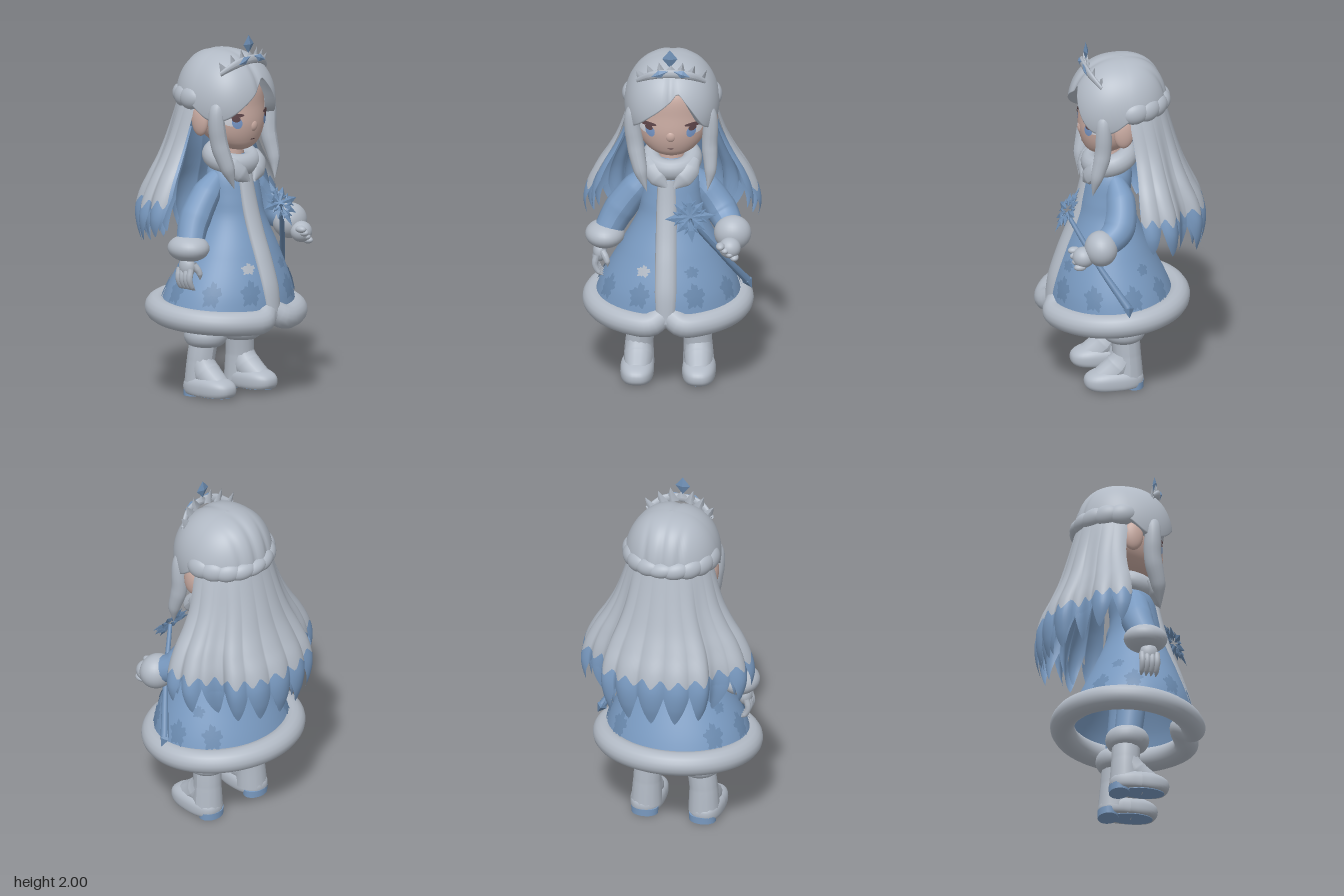
import * as THREE from 'three';
import { ParametricGeometry } from 'three/addons/geometries/ParametricGeometry.js';

const material = (name, color) => {
  const m = new THREE.MeshStandardMaterial({ color, side: THREE.DoubleSide });
  m.name = name;
  return m;
};
const V = (p) => new THREE.Vector3(...p);
const bump = (x, w) => Math.exp(-((x / w) ** 2));

// Interpolated table: first column is the key, the rest are values
const table = (rows) => new THREE.CubicInterpolant(
  rows.map((r) => r[0]), rows.flatMap((r) => r.slice(1)), rows[0].length - 1);

// Stack of ellipses, rows [y, rx, rz, cx, cz]; phi = 0 faces the front
function loft(rows) {
  const t = table(rows);
  return (phi, y, out, offset = 0, scale = 1) => {
    const [rx, rz, cx, cz] = t.evaluate(y);
    return out.set(cx + (rx * scale + offset) * Math.sin(phi), y, cz + (rz * scale + offset) * Math.cos(phi));
  };
}

export function createModel() {
  const model = new THREE.Group();
  model.name = 'winterGirl';
  const silver = material('silver', 0xb2bac5), blue = material('blue', 0x7a9bc2), deepBlue = material('deepBlue', 0x6b8bb0);
  const skin = material('skin', 0xc8aaa1), brown = material('brown', 0x5e4549), white = material('eyeWhite', 0xd0d2da);
  const iris = material('irisBlue', 0x7797c8);

  const add = (name, geometry, mat, pos = [0, 0, 0], scale = [1, 1, 1], parent = model) => {
    const mesh = new THREE.Mesh(geometry, mat);
    mesh.name = name;
    mesh.position.set(...pos);
    mesh.scale.set(...scale);
    parent.add(mesh);
    return mesh;
  };
  const ball = (name, mat, pos, radii) => add(name, new THREE.SphereGeometry(1, 28, 18), mat, pos, radii);

  // Tube with varying radius, optionally squashed across
  function sweep(name, mat, points, radii, squash = [1, 1, 1]) {
    const curve = new THREE.CatmullRomCurve3(points.map(V)), segs = 32, sides = 14;
    const g = new THREE.TubeGeometry(curve, segs, 1, sides), p = g.attributes.position, v = new THREE.Vector3();
    for (let i = 0; i < p.count; i++) {
      const t = Math.floor(i / (sides + 1)) / segs, c = curve.getPointAt(t);
      const k = Math.min(t * (radii.length - 1), radii.length - 1.0001), a = Math.floor(k);
      const r = THREE.MathUtils.lerp(radii[a], radii[a + 1], k - a);
      v.fromBufferAttribute(p, i).sub(c).multiplyScalar(r).multiply(V(squash)).add(c);
      p.setXYZ(i, v.x, v.y, v.z);
    }
    g.computeVertexNormals();
    return add(name, g, mat);
  }

  // Thin patch lying on a loft at angle phi and height y
  function patch(name, mat, surface, phi, y, w, h, around, offset, shape = () => 1) {
    const g = new THREE.RingGeometry(0, 1, 40, 4), p = g.attributes.position, v = new THREE.Vector3();
    for (let i = 0; i < p.count; i++) {
      const k = shape(Math.atan2(p.getY(i), p.getX(i)));
      surface(phi + p.getX(i) * k * w / around, y + p.getY(i) * k * h, v, offset);
      p.setXYZ(i, v.x, v.y, v.z);
    }
    g.computeVertexNormals();
    return add(name, g, mat);
  }

  // Coat
  const coat = loft([[0.47, 0.41, 0.35, -0.02, 0.045], [0.6, 0.37, 0.315, -0.015, 0.06], [0.8, 0.275, 0.235, -0.005, 0.075],
    [1, 0.18, 0.155, 0, 0.08], [1.1, 0.165, 0.135, 0, 0.08], [1.24, 0.145, 0.12, 0, 0.06], [1.33, 0.08, 0.08, 0, 0.05]]);
  add('coat', new ParametricGeometry((u, v, out) => coat(u * 2 * Math.PI, 0.47 + v * 0.86, out), 64, 32), blue);

  // Fur hem, dipping in where the coat opens
  const hem = [];
  for (let i = 0; i < 64; i++) {
    const a = (i / 64) * 2 * Math.PI, d = Math.min(a, 2 * Math.PI - a), notch = bump(d, 0.15);
    hem.push(new THREE.Vector3(-0.02 + 0.4 * Math.sin(a), 0.468 - 0.024 * Math.cos(a) + 0.05 * notch,
      0.04 + (0.357 - 0.06 * notch) * Math.cos(a)));
  }
  add('furHem', new THREE.TubeGeometry(new THREE.CatmullRomCurve3(hem, true), 128, 0.067, 16, true), silver);
  const trim = [0.46, 0.6, 0.75, 0.9, 1.05, 1.22].map((y) => {
    const p = coat(0, y, new THREE.Vector3());
    return [-0.022, y, p.z - 0.008];
  });
  sweep('frontFurTrim', silver, trim, [0.05, 0.06, 0.06, 0.058, 0.056, 0.05], [1, 1, 0.55]);

  // Ragged frost embroidery around the skirt
  const ragged = (a) => 0.78 + 0.13 * Math.sin(5 * a) + 0.12 * Math.sin(11 * a + 1);
  for (const phi of [-1.05, -0.42, 0.42, 1.05, 1.75, 2.35, -2.35, -1.75]) {
    patch('frostPatch', deepBlue, coat, phi, 0.605, 0.068, 0.078, 0.37, 0.008, ragged);
  }
  for (const [phi, mat] of [[-0.45, silver], [0.42, deepBlue], [2.1, deepBlue], [-2.1, deepBlue]]) {
    patch('smallFrostPatch', mat, coat, phi, 0.735, 0.045, 0.035, 0.3, 0.008, ragged);
  }

  // Collar and neck
  const collar = add('furCollar', new THREE.TorusGeometry(0.112, 0.055, 16, 36), silver, [0, 1.305, 0.06], [1, 0.95, 1.1]);
  collar.rotation.x = Math.PI / 2 + 0.28;
  add('neck', new THREE.CylinderGeometry(0.07, 0.08, 0.16, 20), skin, [0, 1.35, 0.05]);
  for (const s of [-1, 1]) {
    sweep('collarLapel', silver, [[s * 0.13, 1.32, 0.12], [s * 0.085, 1.255, 0.18], [s * 0.02, 1.19, 0.21]],
      [0.03, 0.055, 0.05, 0.01], [1, 1, 0.6]);
  }

  // Sleeves, cuffs and gloves
  sweep('rightSleeve', blue, [[-0.08, 1.24, 0.06], [-0.19, 1.12, 0.045], [-0.29, 0.98, 0.045], [-0.35, 0.87, 0.07]], [0.04, 0.08, 0.088, 0.076]);
  sweep('leftSleeve', blue, [[0.08, 1.24, 0.06], [0.195, 1.11, 0.04], [0.28, 0.99, 0.075], [0.335, 0.92, 0.18]], [0.04, 0.08, 0.088, 0.07]);
  ball('rightCuff', silver, [-0.363, 0.853, 0.072], [0.108, 0.074, 0.12]);
  ball('leftCuff', silver, [0.337, 0.918, 0.185], [0.102, 0.098, 0.09]);
  ball('rightPalm', silver, [-0.39, 0.755, 0.085], [0.038, 0.06, 0.05]);
  for (let i = 0; i < 4; i++) {
    const z = 0.045 + i * 0.027;
    sweep('rightFinger', silver, [[-0.405, 0.75, z], [-0.415, 0.69, z], [-0.395, 0.645, z], [-0.365, 0.625, z]], [0.017, 0.018, 0.016, 0.014, 0]);
  }
  sweep('rightThumb', silver, [[-0.375, 0.77, 0.12], [-0.35, 0.72, 0.14], [-0.345, 0.68, 0.14]], [0.018, 0.019, 0.016, 0]);
  ball('leftFist', silver, [0.325, 0.87, 0.28], [0.06, 0.058, 0.06]);
  for (let i = 0; i < 4; i++) {
    ball('leftFinger', silver, [0.275 + i * 0.025, 0.895 - i * 0.024, 0.322 - i * 0.006], [0.024, 0.02, 0.034]);
  }

  // Wand with a snowflake head
  sweep('wandShaft', deepBlue, [[0.11, 1.05, 0.325], [0.26, 0.815, 0.2], [0.41, 0.58, 0.05]], [0.012, 0.014, 0.014, 0.019, 0.022]);
  const gem = add('wandTip', new THREE.OctahedronGeometry(1), deepBlue, [0.412, 0.575, 0.048], [0.03, 0.05, 0.03]);
  gem.rotation.z = 0.5;
  const flake = new THREE.Group();
  flake.name = 'snowflake';
  flake.position.set(0.11, 1.065, 0.32);
  flake.rotation.set(-0.55, 0, 0.1);
  model.add(flake);
  for (let i = 0; i < 8; i++) {
    const arm = new THREE.Group();
    arm.name = 'snowflakeArm';
    arm.rotation.z = (i * Math.PI) / 4;
    flake.add(arm);
    const len = i % 2 ? 0.05 : 0.064;
    add('icePetal', new THREE.OctahedronGeometry(1), deepBlue, [0, 0.012 + len, 0], [0.024, len, 0.012], arm);
    for (const s of [-1, 1]) {
      const branch = add('iceBranch', new THREE.OctahedronGeometry(1), deepBlue, [s * 0.02, len * 1.1, 0], [0.011, 0.03, 0.008], arm);
      branch.rotation.z = -s * 0.75;
    }
  }

  // Rounded foot with a flat underside
  const footShape = new THREE.SphereGeometry(1, 36, 24), fp = footShape.attributes.position;
  const fuller = (n) => Math.sign(n) * Math.abs(n) ** 0.8;
  for (let i = 0; i < fp.count; i++) {
    const z = fp.getZ(i), low = z > 0 ? 1 - 0.12 * z : 1;
    fp.setXYZ(i, fuller(fp.getX(i)) * 0.092, Math.max(0.012, 0.05 + fuller(fp.getY(i)) * 0.072 * low), 0.07 + fuller(z) * 0.165);
  }
  footShape.computeVertexNormals();

  // Legs and boots
  for (const [side, x, kneeX] of [['right', -0.182, -0.155], ['left', 0.145, 0.132]]) {
    sweep(side + 'Leg', blue, [[kneeX * 0.8, 0.85, 0.05], [kneeX * 0.9, 0.6, 0.04], [kneeX, 0.33, 0.01]], [0.09, 0.08, 0.075]);
    const cuff = add(side + 'BootCuff', new THREE.TorusGeometry(0.064, 0.053, 16, 32), silver, [kneeX, 0.332, 0.01], [1, 1.03, 1.15]);
    cuff.rotation.x = Math.PI / 2;
    sweep(side + 'BootShaft', silver, [[kneeX, 0.33, 0.005], [x * 0.97, 0.2, -0.004], [x, 0.05, -0.008]], [0.078, 0.078, 0.087]);
    sweep(side + 'BootInstep', silver, [[x, 0.21, -0.01], [x, 0.13, 0.04], [x * 1.02, 0.06, 0.13]], [0.068, 0.078, 0.07]);
    add(side + 'BootFoot', footShape, silver, [x * 1.03, 0, 0]);
    add(side + 'Heel', new THREE.CylinderGeometry(0.076, 0.074, 0.04, 24), blue, [x, 0.02, -0.04], [1, 1, 0.75]);
    add(side + 'Sole', new THREE.CylinderGeometry(0.07, 0.07, 0.006, 24), blue, [x * 1.03, 0.011, 0.09], [1, 1, 1.7]);
  }

  // Head and face
  const head = loft([[1.355, 0.01, 0.01, 0, 0.125], [1.365, 0.06, 0.05, 0, 0.118], [1.385, 0.108, 0.09, 0, 0.103], [1.42, 0.152, 0.13, 0, 0.082],
    [1.5, 0.2, 0.185, 0, 0.045], [1.6, 0.22, 0.215, 0, 0.01], [1.72, 0.21, 0.205, 0, 0.005], [1.8, 0.16, 0.16, 0, 0]]);
  add('head', new ParametricGeometry((u, v, out) => head(u * 2 * Math.PI, 1.355 + v * 0.445, out), 48, 48), skin);
  ball('nose', skin, [0, 1.5, 0.216], [0.03, 0.034, 0.022]);
  patch('mouth', brown, head, 0, 1.425, 0.018, 0.003, 0.16, 0.003);
  for (const s of [-1, 1]) {
    ball('ear', skin, [s * 0.222, 1.535, 0.03], [0.03, 0.085, 0.055]);
    patch('eyeWhite', white, head, s * 0.72, 1.54, 0.046, 0.03, 0.21, 0.003);
    patch('iris', iris, head, s * 0.56, 1.525, 0.03, 0.032, 0.21, 0.005);
    patch('pupil', brown, head, s * 0.57, 1.547, 0.024, 0.015, 0.21, 0.007);
    patch('lash', brown, head, s * 0.64, 1.568, 0.062, 0.012, 0.21, 0.009);
  }

  // Hair cap with parted bangs; its lower edge varies around the head
  const edge = table([[-3.2, 1.62], [-1.65, 1.63], [-1.2, 1.55], [-0.86, 1.55], [-0.4, 1.635], [0, 1.72], [0.18, 1.76],
    [0.34, 1.71], [0.75, 1.56], [1.2, 1.55], [1.65, 1.63], [3.2, 1.62]]);
  add('hairCap', new ParametricGeometry((u, v, out) => {
    const phi = (u * 2 - 1) * Math.PI, low = Math.asin((edge.evaluate(phi)[0] - 1.62) / 0.278);
    const k = Math.max(0, (v - 0.12) / 0.88), el = low + (Math.PI / 2 - low) * k;
    const lip = v < 0.12 ? 0.8 + 0.2 * Math.sin((v / 0.12) * Math.PI / 2) : 1;
    const front = Math.cos(phi) > 0, c = Math.cos(el) ** (front ? 0.85 : 0.85 + 0.13 * Math.cos(phi)) * lip;
    const x = 0.26 * c * Math.sin(phi);
    const groove = 1 + (front ? 0.05 * Math.sin(2 * phi) ** 2 : 0.04 * Math.cos(phi) * bump(Math.abs(x) - 0.1, 0.02) * c)
      - 0.045 * bump(x, 0.025) * c;
    out.set(x * groove, 1.62 + 0.28 * Math.sin(el) * (1 - 0.045 * bump(x, 0.025) * c), (front ? 0.284 : 0.258) * c * Math.cos(phi) * groove);
  }, 96, 36), silver);

  // Rolled hair around the back of the head, fuller at the sides
  for (let i = 0; i <= 8; i++) {
    const a = Math.PI / 2 + 0.15 + (i / 8) * (Math.PI - 0.3), side = Math.abs(Math.sin(a));
    const roll = ball('hairRoll', silver, [0.225 * Math.sin(a), 1.652, 0.228 * Math.cos(a)], [0.08, 0.046 + 0.018 * side, 0.05]);
    roll.rotation.set(0, a, 0.15);
  }

  // Front side locks
  sweep('rightLock', silver, [[-0.15, 1.71, 0.13], [-0.21, 1.6, 0.14], [-0.195, 1.42, 0.145], [-0.165, 1.28, 0.18], [-0.13, 1.16, 0.2]],
    [0.01, 0.045, 0.052, 0.052, 0.042, 0], [0.9, 1, 0.95]);
  sweep('leftLock', silver, [[0.15, 1.71, 0.13], [0.21, 1.6, 0.14], [0.21, 1.42, 0.145], [0.215, 1.28, 0.18], [0.2, 1.17, 0.2]],
    [0.01, 0.042, 0.048, 0.048, 0.036, 0], [0.9, 1, 0.95]);

  // Long hair: silver above, blue pointed tips curling in below, blue lining
  const mane = loft([[0.8, 0.4, 0.33, 0, -0.09], [0.9, 0.445, 0.36, 0, -0.085], [1, 0.467, 0.37, 0, -0.08], [1.1, 0.452, 0.352, 0, -0.077],
    [1.2, 0.41, 0.312, 0, -0.072], [1.3, 0.35, 0.272, 0, -0.07], [1.4, 0.3, 0.245, 0, -0.065], [1.6, 0.235, 0.215, 0, -0.04], [1.7, 0.2, 0.2, 0, -0.03]]);
  const strands = 11, zig = (x) => Math.abs(2 * (x - Math.floor(x)) - 1);
  const tipY = (u) => 0.91 - 0.115 * Math.cos((u - 0.5) * 3.4) + 0.17 * zig(u * strands) ** 1.4;
  const dyeY = (u) => Math.max(tipY(u) + 0.005, 1.06 - 0.04 * Math.cos((u - 0.5) * 3.4) + 0.06 * zig(u * strands * 1.5 + 0.3));
  const hair = (name, mat, top, bottom, scale) => add(name, new ParametricGeometry((u, v, out) => {
    const theta = (u - 0.5) * 3.5, y = THREE.MathUtils.lerp(top(u), bottom(u), v);
    const drop = THREE.MathUtils.clamp((1.65 - y) / 0.65, 0, 1);
    const wave = 1 + drop * (0.06 * (1 - zig(u * strands) ** 2) - 0.02 - 0.18 * bump(Math.abs(theta) - 0.92, 0.16));
    mane(Math.PI - theta, y, out, 0, scale * wave);
  }, strands * 12, 20), mat);
  hair('longHair', silver, () => 1.69, dyeY, 1);
  hair('hairTips', blue, dyeY, tipY, 1);
  hair('hairLining', blue, () => 1.5, (u) => tipY(u) + 0.03, 0.91);

  // Tiara
  sweep('tiaraBand', silver, [[-0.185, 1.8, 0.145], [-0.1, 1.85, 0.19], [0, 1.865, 0.203], [0.1, 1.85, 0.19], [0.185, 1.8, 0.145]],
    [0.014, 0.024, 0.024, 0.024, 0.014], [1, 1, 0.5]);
  for (let i = -3; i <= 3; i++) {
    const t = i / 3, tall = i === 0 ? 0.02 : 0.042;
    const spike = add('tiaraSpike', new THREE.ConeGeometry(1, 2, 4), silver,
      [t * 0.172, 1.892 - 0.058 * t * t, 0.194 - 0.05 * t * t], [0.036, tall, 0.01]);
    spike.rotation.z = -t * 0.6;
  }
  for (const s of [-1, 1]) {
    const leaf = add('tiaraLeaf', new THREE.OctahedronGeometry(1), blue, [s * 0.06, 1.867, 0.212], [0.05, 0.022, 0.009]);
    leaf.rotation.z = -s * 0.35;
  }
  add('tiaraGem', new THREE.OctahedronGeometry(1), deepBlue, [-0.005, 1.948, 0.19], [0.042, 0.052, 0.014]);
  return model;
}
